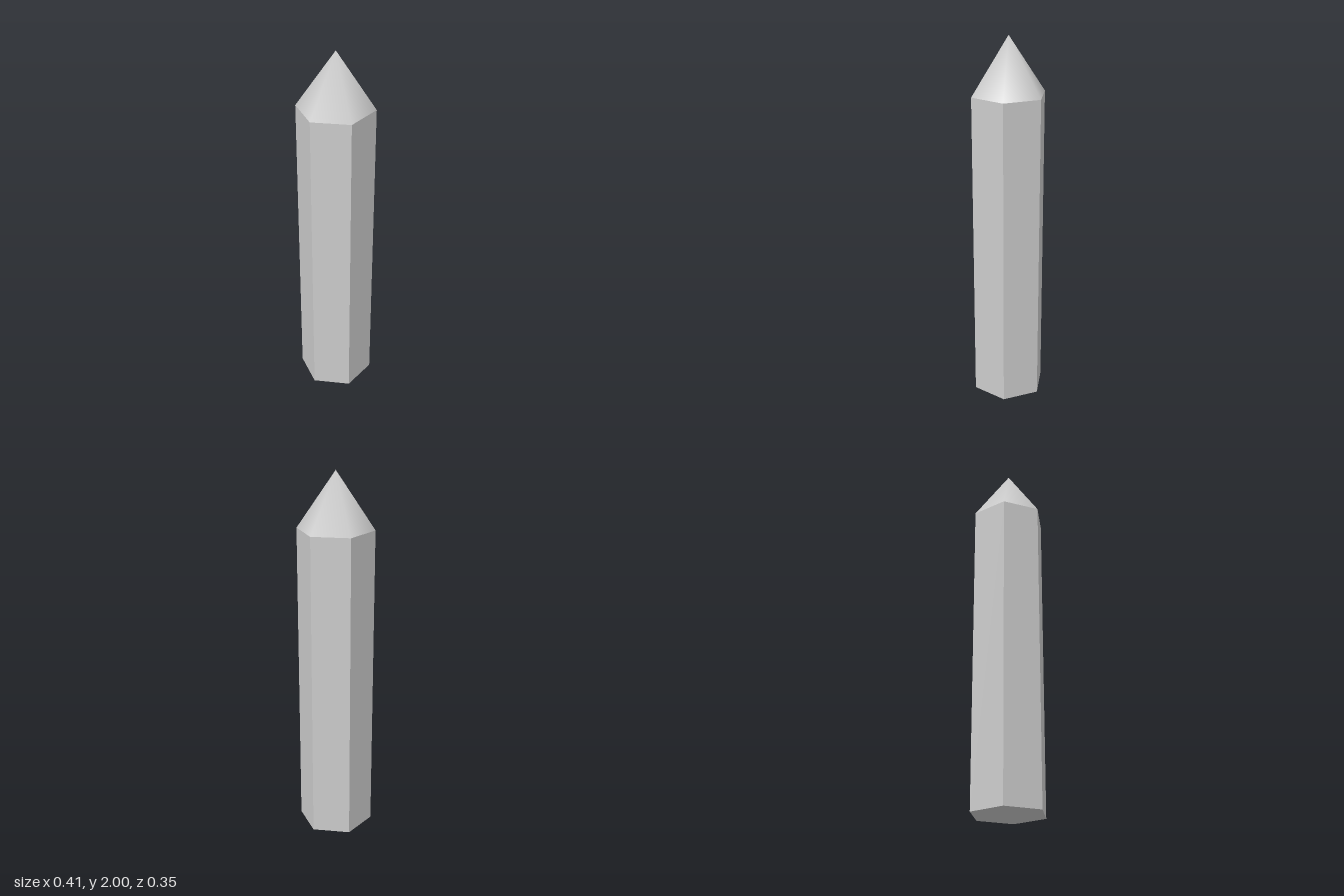
import * as THREE from 'three';
import { mergeVertices } from 'three/addons/utils/BufferGeometryUtils.js';

const RADIUS = 0.204;
const SHAFT_HEIGHT = 1.7;
const TIP_HEIGHT = 0.3;
const SIDES = 6;
const START = Math.PI / 2; // puts two corners on the x axis

export function createModel() {
  const group = new THREE.Group();
  group.name = 'hexagonalCrystal';

  // Flat-sided hexagonal shaft
  const shaftGeometry = new THREE.CylinderGeometry(RADIUS, RADIUS, SHAFT_HEIGHT, SIDES, 1, false, START);
  const shaft = new THREE.Mesh(
    shaftGeometry,
    new THREE.MeshStandardMaterial({ color: 0xcccccc, flatShading: true })
  );
  shaft.name = 'shaft';
  shaft.position.y = SHAFT_HEIGHT / 2;
  group.add(shaft);

  // Six-sided point, welded so its normals blend over the corners and the apex
  const cone = new THREE.ConeGeometry(RADIUS, TIP_HEIGHT, SIDES, 1, true, START);
  cone.deleteAttribute('uv');
  cone.deleteAttribute('normal');
  const tipGeometry = mergeVertices(cone, 1e-4);
  tipGeometry.computeVertexNormals();
  const tip = new THREE.Mesh(tipGeometry, new THREE.MeshStandardMaterial({ color: 0xcccccc }));
  tip.name = 'tip';
  tip.position.y = SHAFT_HEIGHT + TIP_HEIGHT / 2;
  group.add(tip);

  return group;
}
